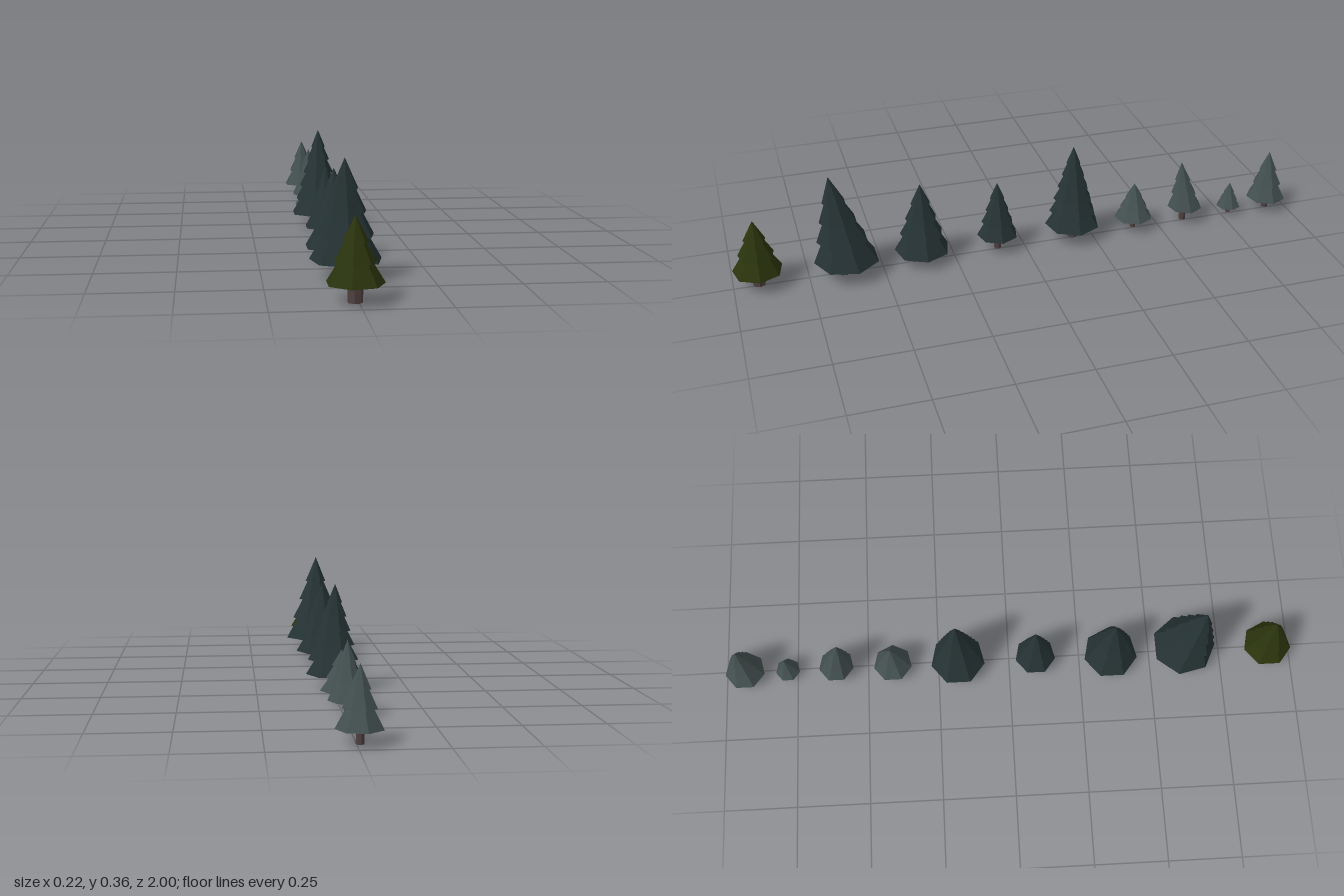
import * as THREE from 'three';

const mat = (name, color) => {
  const m = new THREE.MeshStandardMaterial({ color });
  m.name = name;
  m.flatShading = true;
  return m;
};

const SIDES = 7;

export function createModel() {
  const group = new THREE.Group();
  group.name = 'treeRow';

  const olive = mat('olive needles', 0x2a330d);
  const pine = mat('dark pine needles', 0x253233);
  const frost = mat('grey pine needles', 0x434f4f);
  const bark = mat('bark', 0x504040);

  // z, base height, apex height, radius, tiers, trunk radius, needles,
  // then optional base x, lean in x and z, start angle
  const trees = [
    { z: 0.915, y: 0.053, top: 0.241, r: 0.084, tiers: 3, trunk: 0.022, m: olive },
    { z: 0.62, y: 0.053, top: 0.363, r: 0.111, tiers: 4, trunk: 0.022, m: pine,
      x: 0.0, leanX: -0.01, leanZ: 0.04, start: 0 },
    { z: 0.36, y: 0.04, top: 0.29, r: 0.095, tiers: 4, trunk: 0.021, m: pine },
    { z: 0.093, y: 0.053, top: 0.254, r: 0.071, tiers: 4, trunk: 0.013, m: pine },
    { z: -0.18, y: 0.053, top: 0.351, r: 0.096, tiers: 6, trunk: 0.017, m: pine },
    { z: -0.41, y: 0.043, top: 0.173, r: 0.068, tiers: 3, trunk: 0.01, m: frost },
    { z: -0.608, y: 0.053, top: 0.231, r: 0.062, tiers: 3, trunk: 0.012, m: frost, leanZ: 0.022 },
    { z: -0.782, y: 0.027, top: 0.118, r: 0.043, tiers: 3, trunk: 0.008, m: frost },
    { z: -0.93, y: 0.043, top: 0.222, r: 0.07, tiers: 3, trunk: 0.012, m: frost },
  ];

  trees.forEach((t) => {
    const { z, y, top, r, tiers, trunk, m, x = -0.01, leanX = 0, leanZ = 0, start = Math.PI / 2 } = t;
    const tree = new THREE.Group();
    tree.name = 'tree';
    tree.position.set(x, 0, z);
    const h = top - y;

    // Trunk, ending just inside the lowest tier
    const trunkH = y + 0.01;
    const trunkGeo = new THREE.CylinderGeometry(trunk, trunk, trunkH, SIDES, 1, false, start);
    const trunkMesh = new THREE.Mesh(trunkGeo, bark);
    trunkMesh.name = 'trunk';
    trunkMesh.position.set(0, trunkH / 2, leanZ * 0.3);
    tree.add(trunkMesh);

    // Lean: slide each point sideways in proportion to its height in the foliage
    const lean = new THREE.Matrix4().set(
      1, leanX / h, 0, 0,
      0, 1, 0, 0,
      0, leanZ / h, 1, 0,
      0, 0, 0, 1);

    // Stacked tiers: frustums that each tuck under the wider skirt above, topped by a cone
    const levelY = (i) => h * Math.pow(i / (tiers + 0.35), 0.95);
    const levelR = (i) => r * Math.pow(1 - levelY(i) / h, 0.85);
    for (let i = 0; i < tiers; i++) {
      const last = i === tiers - 1;
      const y0 = levelY(i);
      const y1 = last ? h : levelY(i + 1) + h * 0.01;
      const r1 = last ? 0 : levelR(i + 1) * 0.76;
      const geo = new THREE.CylinderGeometry(r1, levelR(i), y1 - y0, SIDES, 1, false, start);
      geo.translate(0, (y0 + y1) / 2, 0).applyMatrix4(lean);
      const tier = new THREE.Mesh(geo, m);
      tier.name = 'foliageTier';
      tier.position.y = y;
      tree.add(tier);
    }
    group.add(tree);
  });

  return group;
}
